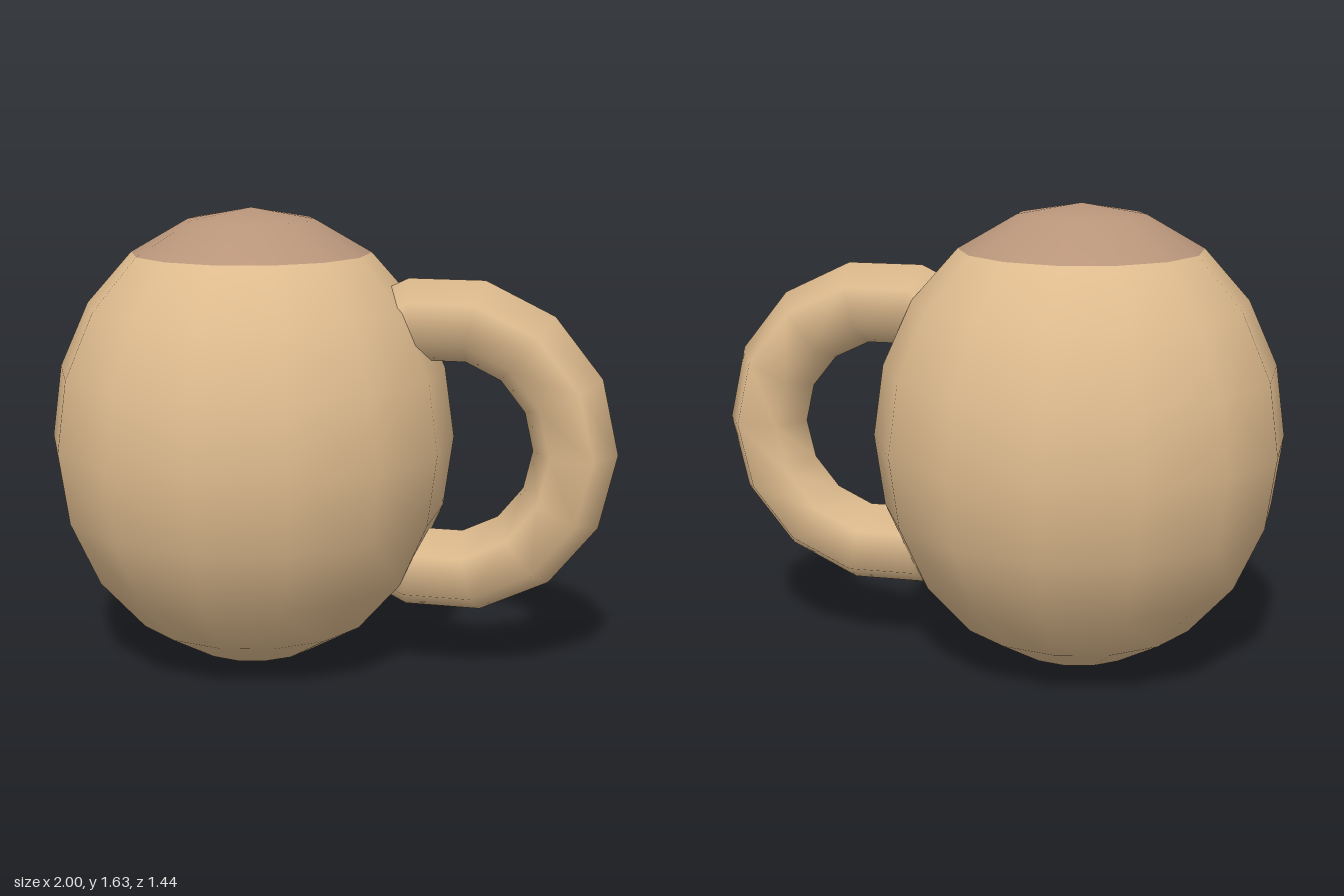
import * as THREE from 'three';

const SIDES = 14, RINGS = 10;

// A band of the egg-shaped body, between two ring numbers counted from the top.
function bodyBand(name, fromRing, toRing, material) {
  const step = Math.PI / RINGS;
  const geometry = new THREE.SphereGeometry(1, SIDES, toRing - fromRing,
    Math.PI / 2, Math.PI * 2, fromRing * step, (toRing - fromRing) * step);
  geometry.scale(0.72, 0.816, 0.72);
  const mesh = new THREE.Mesh(geometry, material);
  mesh.name = name;
  mesh.position.set(-0.298, 0.818, 0);
  return mesh;
}

export function createModel() {
  const group = new THREE.Group();
  group.name = 'roundMug';
  const clay = new THREE.MeshStandardMaterial({ color: 0xdebb8e });
  const dark = new THREE.MeshStandardMaterial({ color: 0xb8957a });

  // Body with a darker top
  group.add(bodyBand('topCap', 0, 2, dark));
  group.add(bodyBand('body', 2, RINGS, clay));

  // Six-sided ring handle, partly sunk into the body
  const handle = new THREE.Mesh(new THREE.TorusGeometry(0.454, 0.146, 6, 14), clay);
  handle.name = 'handle';
  handle.position.set(0.4, 0.818, 0);
  group.add(handle);

  return group;
}
